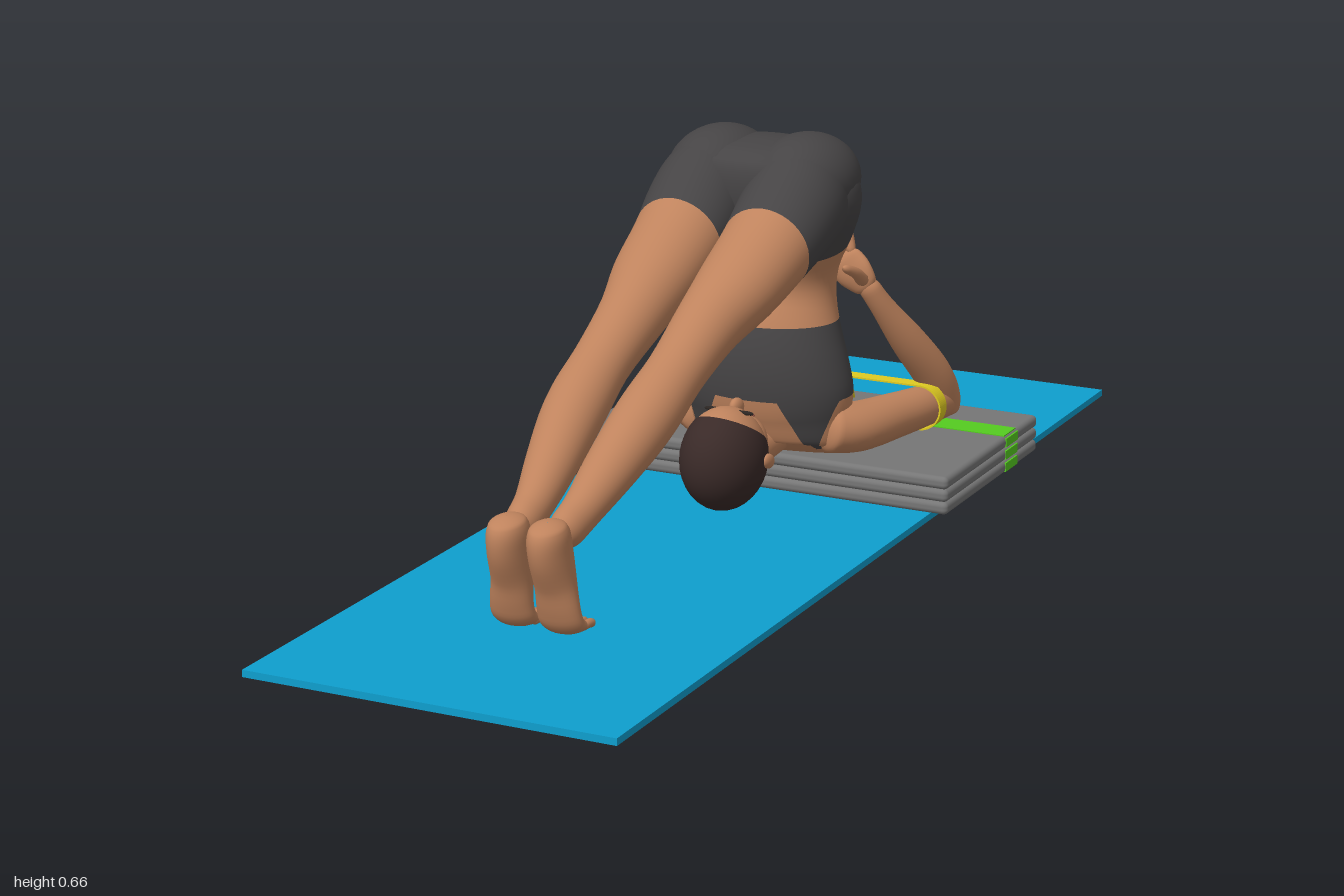
import * as THREE from 'three';
import { RoundedBoxGeometry } from 'three/addons/geometries/RoundedBoxGeometry.js';

const mat = (name, color, extra = {}) => Object.assign(new THREE.MeshStandardMaterial({ color, ...extra }), { name });

// Smooth closed limb through rows of [x, y, z, half width, half depth].
function loft(rows, { n = 40, sides = 32, end = 0.08 } = {}) {
  const path = new THREE.CatmullRomCurve3(rows.map(r => new THREE.Vector3(r[0], r[1], r[2])), false, 'catmullrom');
  const size = new THREE.CatmullRomCurve3(rows.map(r => new THREE.Vector3(r[3], r[4], 0)), false, 'catmullrom');
  const pos = [], idx = [];
  for (let i = 0; i <= n; i++) {
    const t = (1 - Math.cos(Math.PI * i / n)) / 2;
    const s = Math.min(1, t / end, (1 - t) / end);
    const k = Math.max(0.02, Math.sqrt(1 - (1 - s) ** 2));
    const c = path.getPoint(t), r = size.getPoint(t), T = path.getTangent(t);
    const U = new THREE.Vector3(1, 0, 0).addScaledVector(T, -T.x).normalize();
    const V = new THREE.Vector3().crossVectors(T, U);
    for (let j = 0; j < sides; j++) {
      const a = j / sides * Math.PI * 2;
      const p = c.clone().addScaledVector(U, r.x * k * Math.cos(a)).addScaledVector(V, r.y * k * Math.sin(a));
      pos.push(p.x, p.y, p.z);
      if (i < n) {
        const A = i * sides + j, B = i * sides + (j + 1) % sides;
        idx.push(A, B, A + sides, B, B + sides, A + sides);
      }
    }
  }
  const g = new THREE.BufferGeometry();
  g.setAttribute('position', new THREE.Float32BufferAttribute(pos, 3));
  g.setIndex(idx);
  g.computeVertexNormals();
  return g;
}

// Keeps the part of a surface where f(point) >= 0, with a clean cut edge.
function clip(geo, f) {
  const g = geo.index ? geo.toNonIndexed() : geo;
  const P = g.attributes.position, N = g.attributes.normal, pos = [], nor = [];
  for (let i = 0; i < P.count; i += 3) {
    const tri = [0, 1, 2].map(k => {
      const p = new THREE.Vector3().fromBufferAttribute(P, i + k);
      return { p, n: new THREE.Vector3().fromBufferAttribute(N, i + k), d: f(p) };
    });
    const poly = [];
    tri.forEach((a, k) => {
      const b = tri[(k + 1) % 3];
      if (a.d >= 0) poly.push(a);
      if ((a.d >= 0) !== (b.d >= 0)) {
        const t = a.d / (a.d - b.d);
        poly.push({ p: a.p.clone().lerp(b.p, t), n: a.n.clone().lerp(b.n, t).normalize() });
      }
    });
    for (let k = 1; k + 1 < poly.length; k++)
      for (const v of [poly[0], poly[k], poly[k + 1]]) { pos.push(...v.p.toArray()); nor.push(...v.n.toArray()); }
  }
  const out = new THREE.BufferGeometry();
  out.setAttribute('position', new THREE.Float32BufferAttribute(pos, 3));
  out.setAttribute('normal', new THREE.Float32BufferAttribute(nor, 3));
  return out;
}

const ellipsoid = (x, y, z, a, b, c) => new THREE.SphereGeometry(1, 32, 24).scale(a, b, c).translate(x, y, z);

export function createModel() {
  const root = new THREE.Group();
  const blue = mat('mat blue', 0x0e9fce), grey = mat('blanket grey', 0x767676), green = mat('stripe green', 0x55cc20);
  const skin = mat('skin', 0xbf835d), cloth = mat('charcoal cloth', 0x464445), hair = mat('hair', 0x3a2a28);
  const yellow = mat('strap yellow', 0xdfca22, { side: THREE.DoubleSide });
  const dark = mat('dark detail', 0x2b2522), lip = mat('lips', 0xa05a4c);
  const add = (name, geo, material, parent = root) => {
    const m = new THREE.Mesh(geo, material);
    m.name = name;
    parent.add(m);
    return m;
  };
  const box = (w, h, d, x, y, z) => new THREE.BoxGeometry(w, h, d).translate(x, y, z);

  // Mat and folded blankets with a stripe
  add('mat', box(0.65, 0.012, 2, 0, 0.006, 0), blue);
  for (let i = 0; i < 3; i++) {
    const y = 0.0235 + i * 0.0227;
    add('blanket', new RoundedBoxGeometry(0.714, 0.0227, 0.42, 3, 0.009).translate(0, y, -0.375), grey);
    for (const s of [-1, 1]) add('stripeEnd', box(0.003, 0.016, 0.055, s * 0.3565, y, -0.46), green);
  }
  add('stripe', box(0.706, 0.002, 0.055, 0, 0.081, -0.46), green);

  // Torso, with top and shorts cut out of one surface
  const torso = loft([
    [0, 0.075, -0.2, 0.1, 0.06], [0, 0.1, -0.21, 0.14, 0.08], [0, 0.15, -0.21, 0.15, 0.095],
    [0, 0.2, -0.205, 0.155, 0.103], [0, 0.25, -0.205, 0.145, 0.105], [0, 0.3, -0.21, 0.13, 0.1],
    [0, 0.36, -0.22, 0.115, 0.088], [0, 0.41, -0.22, 0.12, 0.088], [0, 0.47, -0.21, 0.15, 0.1],
    [0, 0.53, -0.195, 0.172, 0.115], [0, 0.58, -0.18, 0.166, 0.115], [0, 0.62, -0.18, 0.125, 0.095],
    [0, 0.643, -0.18, 0.07, 0.05]], { n: 60, sides: 64, end: 0.04 });
  const top = p => Math.min(0.32 - p.y, p.y - Math.min(0.19, 0.08 + 2.5 * Math.abs(Math.abs(p.x) - 0.105)));
  const shorts = p => p.y - 0.43 + (p.z + 0.13) * 0.27;
  add('top', clip(torso, top), cloth);
  add('shorts', clip(torso, shorts), cloth);
  add('torso', clip(torso, p => -Math.max(top(p), shorts(p))), skin);
  add('neck', loft([[0, 0.08, -0.04, 0.046, 0.048], [0, 0.1, -0.12, 0.044, 0.043], [0, 0.125, -0.2, 0.07, 0.045]]), skin);

  for (const s of [-1, 1]) {
    const side = s > 0 ? 'left' : 'right';
    const limb = (rows, opt) => loft(rows.map(([x, ...r]) => [s * x, ...r]), opt);

    // Hip and leg, with the hem cut across the thigh
    add(side + 'Buttock', ellipsoid(s * 0.08, 0.574, -0.18, 0.09, 0.082, 0.118), cloth);
    const leg = limb([
      [0.08, 0.56, -0.21, 0.06, 0.06], [0.085, 0.55, -0.15, 0.085, 0.093], [0.085, 0.525, -0.09, 0.088, 0.088],
      [0.082, 0.487, -0.015, 0.081, 0.074], [0.078, 0.445, 0.085, 0.073, 0.065], [0.07, 0.405, 0.18, 0.058, 0.056],
      [0.068, 0.355, 0.29, 0.05, 0.048], [0.065, 0.315, 0.37, 0.052, 0.051], [0.06, 0.282, 0.43, 0.05, 0.05],
      [0.05, 0.235, 0.51, 0.042, 0.042], [0.042, 0.195, 0.58, 0.032, 0.034], [0.037, 0.168, 0.65, 0.028, 0.034]],
      { n: 60, sides: 40, end: 0.05 });
    const hem = p => 0.215 * (p.y - 0.487) - 0.015 - p.z;
    add(side + 'ShortsLeg', clip(leg, hem), cloth);
    add(side + 'Leg', clip(leg, p => -hem(p)), skin);

    // Foot standing on tucked toes
    add(side + 'Foot', limb([
      [0.036, 0.207, 0.677, 0.024, 0.028], [0.036, 0.185, 0.674, 0.032, 0.042], [0.037, 0.15, 0.668, 0.033, 0.044],
      [0.039, 0.1, 0.657, 0.034, 0.034], [0.042, 0.06, 0.654, 0.037, 0.025], [0.043, 0.035, 0.645, 0.039, 0.021],
      [0.043, 0.024, 0.62, 0.038, 0.012]]), skin);
    for (let i = 0; i < 5; i++) {
      const x = 0.015 + i * 0.0145, r = i ? 0.0075 : 0.011;
      add(side + 'Toe', limb([[x, 0.026, 0.64, r, r], [x, 0.025, 0.61, r, r], [x, 0.013 + r, 0.579 + i * 0.005, r, r]],
        { n: 10, sides: 10, end: 0.2 }), skin);
    }

    // Arm resting on the blanket, forearm rising to the back
    add(side + 'UpperArm', limb([
      [0.11, 0.135, -0.18, 0.045, 0.045], [0.15, 0.125, -0.24, 0.05, 0.044], [0.18, 0.122, -0.34, 0.043, 0.04],
      [0.203, 0.12, -0.43, 0.036, 0.036], [0.213, 0.115, -0.51, 0.03, 0.032]]), skin);
    add(side + 'Forearm', limb([
      [0.212, 0.088, -0.492, 0.026, 0.024], [0.213, 0.125, -0.482, 0.032, 0.033], [0.205, 0.18, -0.445, 0.035, 0.034],
      [0.182, 0.25, -0.39, 0.031, 0.031], [0.155, 0.32, -0.34, 0.022, 0.021], [0.132, 0.372, -0.312, 0.021, 0.016]]), skin);
    add(side + 'Palm', limb([[0.142, 0.35, -0.32, 0.02, 0.015], [0.115, 0.38, -0.314, 0.036, 0.016],
      [0.085, 0.41, -0.313, 0.034, 0.012]], { n: 20, sides: 24, end: 0.2 }), skin);
    [[0.108, 0.425, 0.09, 0.472], [0.094, 0.419, 0.06, 0.468], [0.081, 0.407, 0.036, 0.45], [0.07, 0.393, 0.026, 0.42]]
      .forEach(([x, y, u, v]) => add(side + 'Finger', limb([
        [x, y - 0.01, -0.312, 0.009, 0.009], [(x + u) / 2, (y + v) / 2, -0.319, 0.0085, 0.0085],
        [u, v, -0.317, 0.006, 0.006]], { n: 12, sides: 10, end: 0.15 }), skin));
    add(side + 'Thumb', limb([[0.135, 0.37, -0.305, 0.013, 0.013], [0.138, 0.395, -0.265, 0.01, 0.01],
      [0.13, 0.413, -0.228, 0.007, 0.007]], { n: 12, sides: 10, end: 0.15 }), skin);
  }

  // Head lying back, face upwards
  const head = new THREE.Group();
  head.name = 'head';
  head.position.set(0, 0.108, -0.025);
  head.rotation.set(1.245, Math.PI, 0);
  root.add(head);
  const skull = ellipsoid(0, 0, 0, 0.072, 0.09, 0.09);
  const hairline = p => Math.min(0.05 + 0.25 * p.y - p.z, p.y + 0.08);
  add('hair', clip(skull, hairline).scale(1.02, 1.02, 1.02), hair, head);
  add('face', clip(skull, p => -hairline(p)), skin, head);
  add('jaw', ellipsoid(0, -0.055, 0.03, 0.05, 0.045, 0.051), skin, head);
  add('nose', ellipsoid(0, -0.022, 0.09, 0.011, 0.02, 0.016), skin, head);
  add('lips', ellipsoid(0, -0.058, 0.079, 0.02, 0.008, 0.005), lip, head);
  for (const s of [-1, 1]) {
    add('ear', ellipsoid(s * 0.072, -0.025, 0.005, 0.008, 0.02, 0.013), skin, head);
    add('eye', ellipsoid(s * 0.028, -0.006, 0.081, 0.013, 0.004, 0.004), dark, head);
    add('brow', ellipsoid(s * 0.028, 0.012, 0.081, 0.017, 0.003, 0.004), dark, head);
  }

  // Strap looped round both arms, with buckle and loose tail
  const stadium = (P, r) => {
    const p = new P();
    p.absarc(0.203, 0.123, r, -Math.PI / 2, Math.PI / 2);
    p.absarc(-0.203, 0.123, r, Math.PI / 2, Math.PI * 1.5);
    p.closePath();
    return p;
  };
  const loop = stadium(THREE.Shape, 0.0415);
  loop.holes.push(stadium(THREE.Path, 0.0385));
  add('strapLoop', new THREE.ExtrudeGeometry(loop, { depth: 0.028, bevelEnabled: false, curveSegments: 20 }).translate(0, 0, -0.427), yellow);
  add('buckle', box(0.03, 0.008, 0.042, 0.003, 0.165, -0.413), dark);
  add('buckleStrap', box(0.018, 0.009, 0.028, 0.003, 0.1655, -0.413), yellow);
  add('strapTail', loft([[0.005, 0.166, -0.41, 0.014, 0.002], [0.03, 0.15, -0.445, 0.014, 0.002],
    [0.03, 0.105, -0.475, 0.014, 0.002], [0.005, 0.09, -0.515, 0.014, 0.002], [-0.025, 0.086, -0.55, 0.014, 0.002]],
    { n: 24, sides: 8, end: 0.03 }), yellow);
  return root;
}
